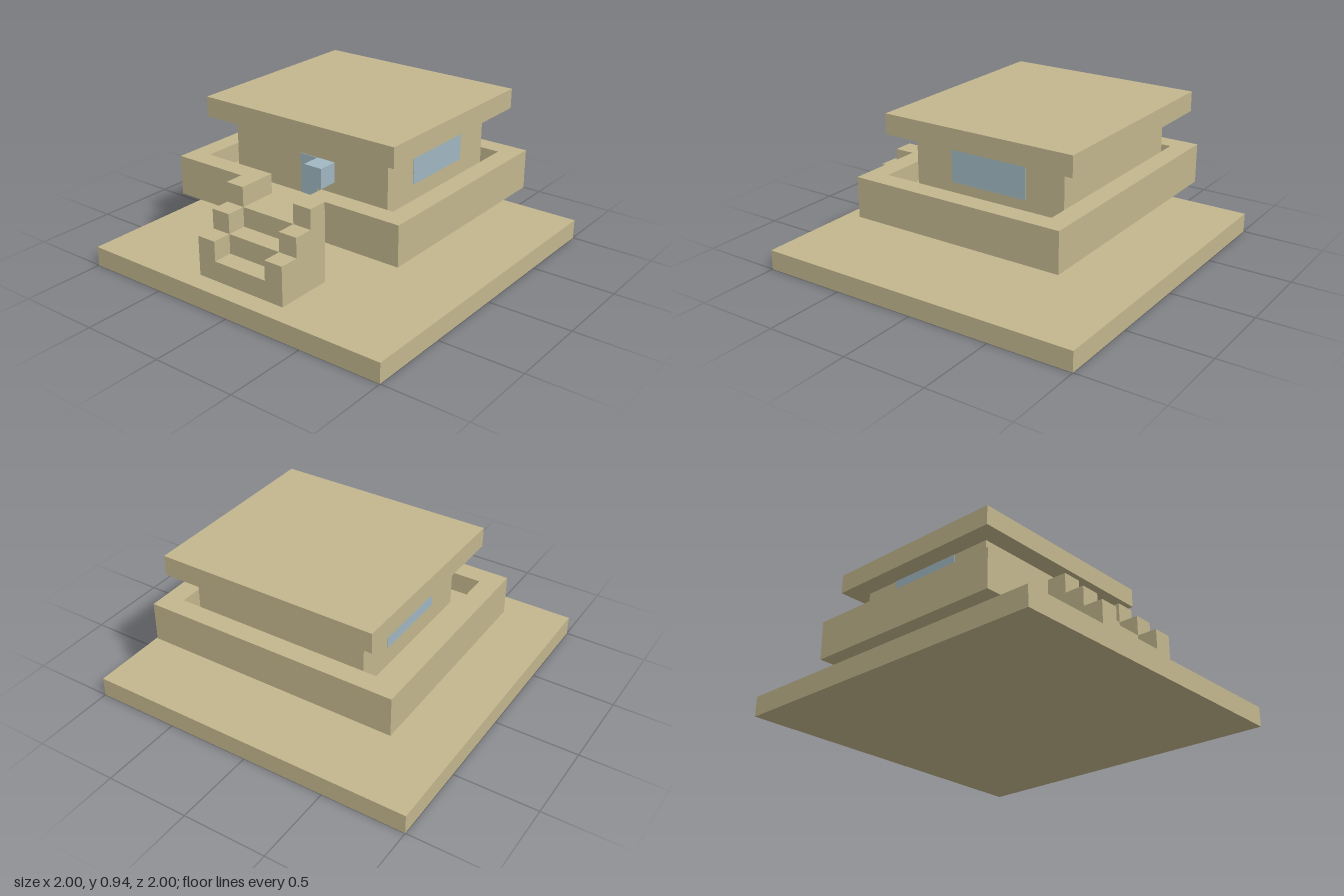
import * as THREE from 'three';

// One block of the layout, 17 blocks across the base
const U = 2 / 17;

export function createModel() {
  const model = new THREE.Group();
  model.name = 'house';
  const sandstone = new THREE.MeshStandardMaterial({ name: 'sandstone', color: 0xc3b78e });
  const paleBlue = new THREE.MeshStandardMaterial({ name: 'paleBlue', color: 0xa1b8c3 });

  const add = (name, geometry, material) => {
    geometry.scale(U, U, U);
    const mesh = new THREE.Mesh(geometry, material);
    mesh.name = name;
    model.add(mesh);
  };
  // Box between two corners, in blocks
  const box = (name, [x0, y0, z0], [x1, y1, z1], material = sandstone) => {
    const g = new THREE.BoxGeometry(x1 - x0, y1 - y0, z1 - z0);
    g.translate((x0 + x1) / 2, (y0 + y1) / 2, (z0 + z1) / 2);
    add(name, g, material);
  };
  const extrude = (points, depth) => new THREE.ExtrudeGeometry(
    new THREE.Shape(points.map(([a, b]) => new THREE.Vector2(a, b))),
    { depth, bevelEnabled: false });

  // Ground slab, raised terrace, house and roof
  box('groundSlab', [-8.5, 0, -8.5], [8.5, 1, 8.5]);
  box('terraceFloor', [-6.5, 3, -6.5], [6.5, 4, 4.5]);
  box('houseWalls', [-4.5, 4, -5.5], [4.5, 7, 2.5]);
  box('roof', [-5.5, 7, -6.5], [5.5, 8, 3.5]);

  // Parapet around the terrace, open at the stairs
  const half = [[1.5, 4.5], [1.5, 3.5], [5.5, 3.5], [5.5, -5.5]];
  const outer = [[6.5, -6.5], [6.5, 4.5]];
  const mirror = (pts) => pts.map(([x, z]) => [-x, z]).reverse();
  const outline = [...outer, ...half, ...mirror(half), ...mirror(outer)];
  const parapet = extrude(outline.map(([x, z]) => [x, -z]), 1);
  parapet.rotateX(-Math.PI / 2);
  parapet.translate(0, 4, 0);
  add('parapet', parapet, sandstone);

  // Stepped profile in z and y, carried along x
  const flight = (name, x0, x1, top) => {
    const g = extrude([
      [4.5, 1], [7.5, 1], [7.5, top - 2], [6.5, top - 2], [6.5, top - 1],
      [5.5, top - 1], [5.5, top], [4.5, top],
    ], x1 - x0);
    g.rotateY(-Math.PI / 2);
    g.translate(x1, 0, 0);
    add(name, g, sandstone);
  };
  flight('stairs', -1.5, 1.5, 4);
  flight('rightStairWall', -2.5, -1.5, 5);
  flight('leftStairWall', 1.5, 2.5, 5);

  // Door panel and the block beside it
  box('door', [-0.5, 4, 2.5], [0.5, 6, 2.53], paleBlue);
  box('doorBlock', [0.5, 5, 2.5], [1.5, 6, 3.5], paleBlue);

  // Side windows
  box('leftWindow', [4.5, 5, -3.5], [4.53, 7, 0.5], paleBlue);
  box('rightWindow', [-4.53, 5, -3.5], [-4.5, 7, 0.5], paleBlue);

  return model;
}
